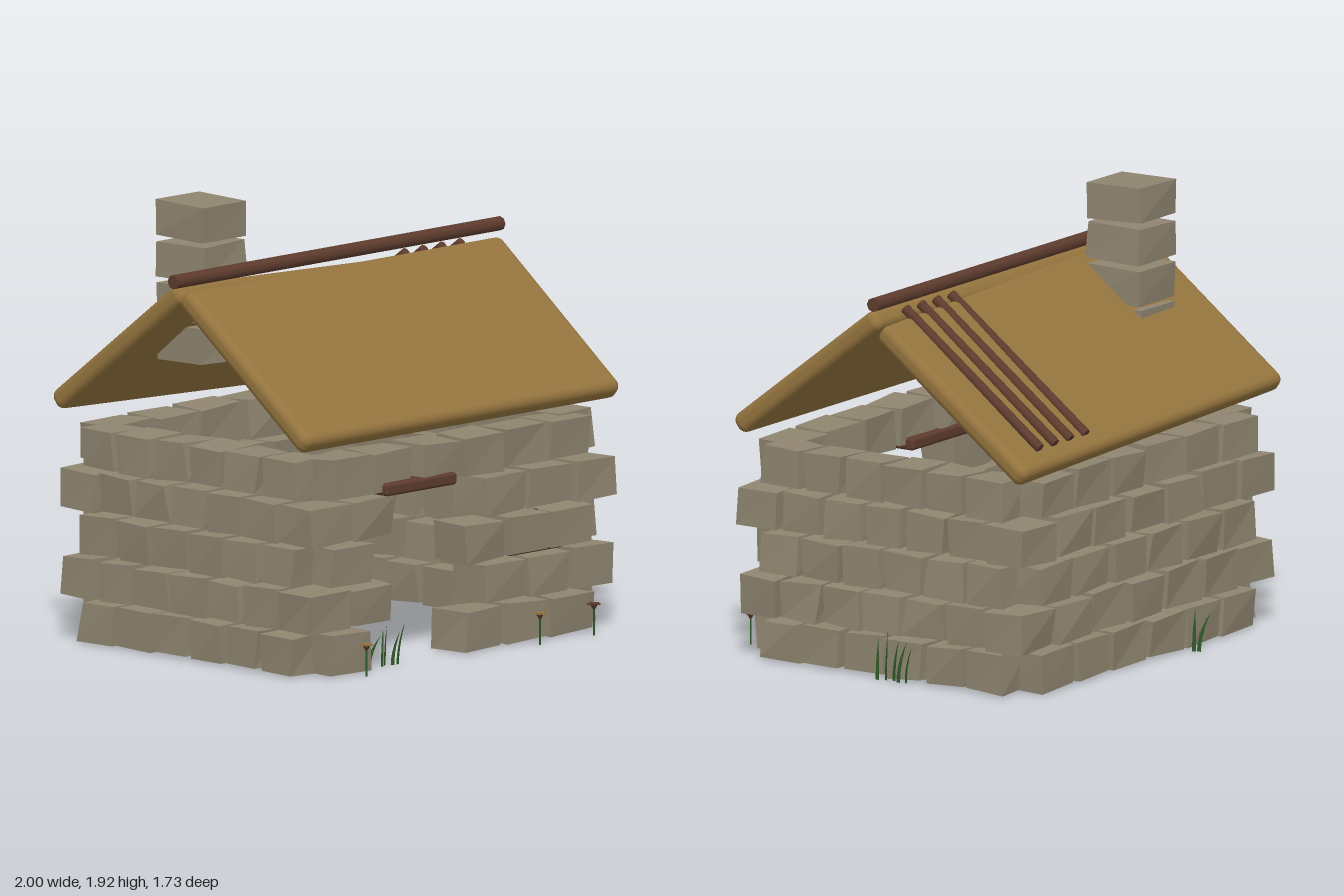
import * as THREE from 'three';
import { RoundedBoxGeometry } from 'three/addons/geometries/RoundedBoxGeometry.js';

export function createModel() {
  const model = new THREE.Group();
  model.name = 'stoneCottage';
  const material = (name, color, extra = {}) => {
    const m = new THREE.MeshStandardMaterial({ color, ...extra });
    m.name = name;
    return m;
  };
  const stoneMat = material('stone', 0x8f8570, { flatShading: true });
  const strawMat = material('straw', 0x94743e);
  const woodMat = material('wood', 0x5e3c2e);
  const grassMat = material('grass', 0x2f5a28, { side: THREE.DoubleSide });

  let seed = 7;
  const rand = () => {
    seed = (seed * 16807) % 2147483647;
    return seed / 2147483647;
  };
  const jitter = (a) => (rand() * 2 - 1) * a;

  const add = (parent, name, geometry, mat, x, y, z) => {
    const mesh = new THREE.Mesh(geometry, mat);
    mesh.name = name;
    mesh.position.set(x, y, z);
    parent.add(mesh);
    return mesh;
  };
  const group = (name) => {
    const g = new THREE.Group();
    g.name = name;
    model.add(g);
    return g;
  };

  // Rough block: a box whose eight corners are each nudged inward or outward
  const addStone = (parent, name, w, h, d, x, y, z, rough = 0.013) => {
    const geo = new THREE.BoxGeometry(w, h, d).toNonIndexed();
    const offsets = Array.from({ length: 8 }, () => [jitter(rough), jitter(rough * 0.6), jitter(rough)]);
    const p = geo.attributes.position;
    for (let i = 0; i < p.count; i++) {
      const k = (p.getX(i) > 0 ? 1 : 0) + (p.getY(i) > 0 ? 2 : 0) + (p.getZ(i) > 0 ? 4 : 0);
      const o = offsets[k];
      p.setXYZ(i, p.getX(i) + o[0], p.getY(i) + o[1], p.getZ(i) + o[2]);
    }
    geo.computeVertexNormals();
    return add(parent, name, geo, stoneMat, x, y, z);
  };

  // Walls: five staggered courses, with a doorway in the front
  const walls = group('walls');
  for (let row = 0; row < 5; row++) {
    const y = 0.088 + row * 0.189;
    const even = row % 2 === 1;
    const count = even ? 7 : 6;
    for (let i = 0; i < count; i++) {
      const x = (i - (count - 1) / 2) * 0.271;
      const doorway = row < 4 && x > -0.45 && x < 0.05;
      if (!doorway) addStone(walls, 'frontStone', 0.24, 0.165, 0.19, x, y, 0.637 + jitter(0.006));
      addStone(walls, 'backStone', 0.24, 0.165, 0.19, x, y, -0.647 + jitter(0.006));
    }
    const sideCount = even ? 5 : 6;
    for (let i = 0; i < sideCount; i++) {
      const z = (i - (sideCount - 1) / 2) * 0.213 - 0.005;
      for (const side of [-1, 1]) {
        addStone(walls, side > 0 ? 'leftWallStone' : 'rightWallStone',
          0.2, 0.165, 0.188, side * 0.82 + jitter(0.006), y, z);
      }
    }
  }

  // Timber over the doorway and in the front wall
  const beam = (name, w, h, d, x, y, z) =>
    add(model, name, new RoundedBoxGeometry(w, h, d, 2, 0.015), woodMat, x, y, z);
  beam('doorLintel', 0.43, 0.055, 0.24, -0.265, 0.767, 0.635);
  beam('windowSill', 0.32, 0.035, 0.05, 0.54, 0.378, 0.63);
  beam('windowPost', 0.035, 0.17, 0.035, 0.55, 0.46, 0.63);

  // Thatch slabs; the back one has sagged to one side
  const roof = group('roof');
  const slab = new RoundedBoxGeometry(1.93, 0.092, 0.925, 4, 0.038);
  const pitch = 0.66;
  const front = add(roof, 'frontThatch', slab, strawMat, 0, 1.288, 0.365);
  front.rotation.x = pitch;
  const back = add(roof, 'backThatch', slab, strawMat, 0, 1.272, -0.387);
  back.rotation.set(-pitch, 0, -0.036, 'ZXY');

  // Poles between two points
  const pole = (parent, name, a, b, radius, sides, mat) => {
    const dir = b.clone().sub(a);
    const mesh = new THREE.Mesh(new THREE.CylinderGeometry(radius, radius, dir.length(), sides), mat);
    mesh.name = name;
    mesh.position.copy(a).add(b).multiplyScalar(0.5);
    mesh.quaternion.setFromUnitVectors(new THREE.Vector3(0, 1, 0), dir.normalize());
    parent.add(mesh);
    return mesh;
  };
  const v = (x, y, z) => new THREE.Vector3(x, y, z);
  pole(roof, 'ridgePole', v(-1, 1.64, -0.012), v(1, 1.64, -0.012), 0.031, 8, woodMat);
  for (let i = 0; i < 4; i++) {
    const x = 0.432 + i * 0.113;
    pole(roof, 'roofBatten', v(x, 1.585, -0.02), v(x, 1.065, -0.72), 0.022, 8, woodMat);
  }

  // Chimney of four stacked blocks
  const chimney = group('chimney');
  for (let i = 0; i < 4; i++) {
    addStone(chimney, 'chimneyStone', 0.262, 0.155, 0.27, -0.595, 1.308 + i * 0.178, -0.235, 0.01);
  }

  // Grass tufts: bent, tapering blades
  const blade = (h, lean) => {
    const s = new THREE.Shape();
    s.moveTo(-0.009, 0);
    s.quadraticCurveTo(-0.008, h * 0.5, lean, h);
    s.quadraticCurveTo(0.01, h * 0.45, 0.009, 0);
    return new THREE.ShapeGeometry(s, 5);
  };
  const plants = group('plants');
  const tuft = (x, z, turn, height, n, spread) => {
    const g = new THREE.Group();
    g.name = 'grassTuft';
    g.position.set(x, 0, z);
    g.rotation.y = turn;
    for (let i = 0; i < n; i++) {
      const t = n > 1 ? i / (n - 1) - 0.5 : 0;
      const b = add(g, 'grassBlade', blade(height * (0.75 + 0.25 * rand()), 0.03 + t * 0.05),
        grassMat, t * spread, 0, jitter(0.015));
      b.rotation.y = jitter(0.5);
    }
    plants.add(g);
  };
  tuft(-0.42, 0.7, 0, 0.18, 4, 0.09);
  tuft(-0.55, 0.7, 0, 0.15, 2, 0.03);
  tuft(0.54, 0.5, 0, 0.17, 2, 0.03);
  tuft(0.95, -0.08, Math.PI / 2, 0.22, 5, 0.14);
  tuft(-0.27, -0.81, Math.PI / 2, 0.19, 2, 0.02);

  // Flowers: thin stem with a star-shaped head
  const star = new THREE.Shape();
  for (let i = 0; i < 10; i++) {
    const r = i % 2 ? 0.016 : 0.03;
    const a = (i / 10) * Math.PI * 2;
    if (i) star.lineTo(r * Math.cos(a), r * Math.sin(a));
    else star.moveTo(r, 0);
  }
  const head = new THREE.ExtrudeGeometry(star, { depth: 0.008, bevelEnabled: false });
  head.rotateX(-Math.PI / 2);
  [[-0.68, strawMat], [0.38, strawMat], [0.71, woodMat]].forEach(([x, mat]) => {
    pole(plants, 'flowerStem', v(x, 0, 0.825), v(x, 0.132, 0.825), 0.004, 5, grassMat);
    add(plants, 'flowerHead', head, mat, x, 0.133, 0.825);
    add(plants, 'flowerCup', new THREE.CylinderGeometry(0.017, 0.005, 0.02, 6), woodMat, x, 0.123, 0.825);
  });

  return model;
}
